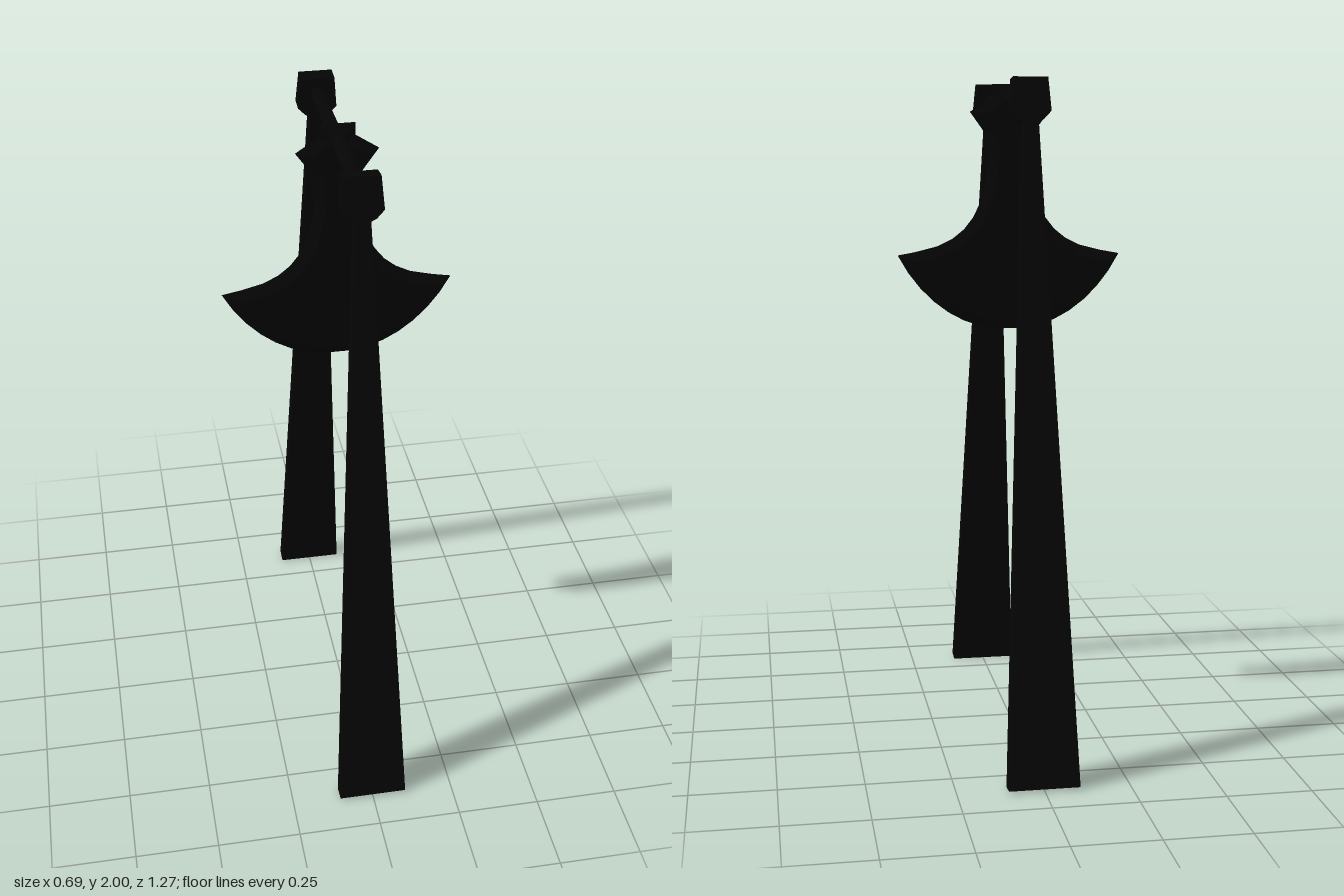
import * as THREE from 'three';

const material = new THREE.MeshStandardMaterial({ color: 0x050505, flatShading: true });

// Closed shape from its right-hand half, listed bottom to top, mirrored in x
function mirroredShape(half) {
  const left = half.filter(([x]) => x > 0).map(([x, y]) => [-x, y]).reverse();
  return new THREE.Shape([...half, ...left].map(([x, y]) => new THREE.Vector2(x, y)));
}

function addMesh(parent, name, geometry) {
  const mesh = new THREE.Mesh(geometry, material);
  mesh.name = name;
  parent.add(mesh);
  return mesh;
}

export function createModel() {
  const model = new THREE.Group();
  model.name = 'pendulumAxeFrame';

  // Tapered leaning legs, each ending in a faceted head
  const legShape = mirroredShape([
    [0.103, 0], [0.021, 1.885], [0.036, 1.892], [0.058, 1.915], [0.05, 2.01],
  ]);
  const thickness = 0.05;
  const legGeometry = new THREE.ExtrudeGeometry(legShape, { depth: thickness, bevelEnabled: false });
  legGeometry.translate(0, 0, -thickness / 2);
  legGeometry.rotateX(-0.1305);
  legGeometry.translate(0, 0.004, 0.61);
  addMesh(model, 'frontLeg', legGeometry);
  addMesh(model, 'backLeg', legGeometry).rotation.y = Math.PI;

  // Crossbar between the leg heads
  const bar = new THREE.CylinderGeometry(0.021, 0.021, 0.69, 8);
  bar.rotateX(Math.PI / 2);
  addMesh(model, 'crossbar', bar).position.y = 1.945;

  // Hanging axe blade: curved cutting edge, hollow shoulders, flared collar
  const cuttingEdge = new THREE.CubicBezierCurve(
    new THREE.Vector2(0.04, 1.25), new THREE.Vector2(0.16, 1.26),
    new THREE.Vector2(0.275, 1.345), new THREE.Vector2(0.343, 1.478));
  const shoulder = new THREE.SplineCurve([
    [0.343, 1.478], [0.22, 1.505], [0.14, 1.555], [0.09, 1.635], [0.066, 1.75], [0.071, 1.84],
  ].map(([x, y]) => new THREE.Vector2(x, y)));
  const bladeHalf = [
    ...cuttingEdge.getPoints(7),
    ...shoulder.getPoints(10).slice(1),
    new THREE.Vector2(0.12, 1.908),
    new THREE.Vector2(0.052, 1.952),
    new THREE.Vector2(0.052, 1.99),
  ].map((p) => [p.x, p.y]);

  // The bevel narrows the blade to a sharp rim all the way round
  const rim = 0.001;
  const blade = new THREE.ExtrudeGeometry(mirroredShape(bladeHalf), {
    depth: rim, bevelEnabled: true, bevelSegments: 1,
    bevelThickness: 0.021, bevelSize: 0.03, bevelOffset: -0.03,
  });
  blade.translate(0, 0, -rim / 2);
  addMesh(model, 'axeBlade', blade);

  return model;
}
